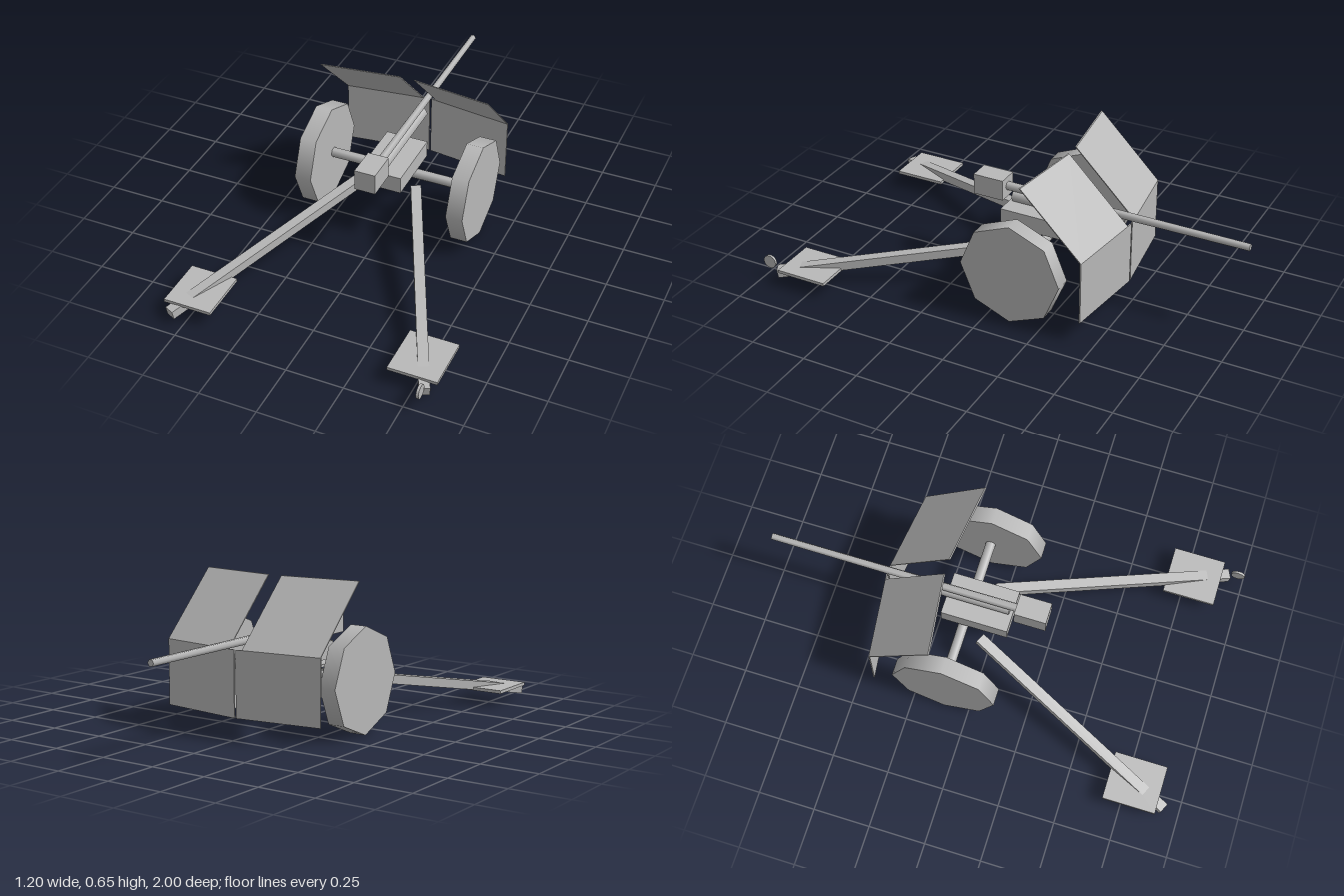
import * as THREE from 'three';

export function createModel() {
  const model = new THREE.Group();
  model.name = 'fieldGun';
  const metal = new THREE.MeshStandardMaterial({ color: 0xb8b8b8 });
  metal.name = 'plain grey';

  function add(name, geometry) {
    const mesh = new THREE.Mesh(geometry, metal);
    mesh.name = name;
    model.add(mesh);
    return mesh;
  }

  // Box given by its minimum and maximum corners
  function box(name, min, max) {
    const size = max.map((v, i) => v - min[i]);
    const mid = max.map((v, i) => (v + min[i]) / 2);
    return add(name, new THREE.BoxGeometry(...size).translate(...mid));
  }

  // Six-sided rod along z, tapering from rear to front
  function rod(name, y, zMin, zMax, rMin, rMax) {
    const g = new THREE.CylinderGeometry(rMax, rMin, zMax - zMin, 6, 1, false, Math.PI / 2);
    g.rotateX(Math.PI / 2).translate(0, y, (zMin + zMax) / 2);
    return add(name, g);
  }

  // Round part lying along x
  function disc(name, radius, width, sides, x, y, z) {
    const g = new THREE.CylinderGeometry(radius, radius, width, sides);
    return add(name, g.rotateZ(Math.PI / 2).translate(x, y, z));
  }

  // Shield plate: swept back to the side, and leaning by the given slope above its foot
  function shieldPlate(name, side, xIn, xOut, yMin, yMax, slope) {
    const g = new THREE.BoxGeometry(xOut - xIn, yMax - yMin, 0.006);
    g.translate(side * (xIn + xOut) / 2, (yMin + yMax) / 2, 0);
    const p = g.attributes.position;
    for (let i = 0; i < p.count; i++) {
      const sweep = 0.128 * Math.abs(p.getX(i));
      p.setZ(i, p.getZ(i) - 0.48 + sweep + slope * (p.getY(i) - yMin));
    }
    g.computeVertexNormals();
    return add(name, g);
  }

  // Gun
  rod('barrel', 0.403, -1, 0.11, 0.015, 0.019);
  rod('recoilTube', 0.362, -0.38, 0.07, 0.026, 0.026);
  box('breech', [-0.047, 0.352, 0.1], [0.047, 0.446, 0.24]);
  box('cradle', [-0.095, 0.265, -0.21], [0.095, 0.341, 0.085]);

  // Axle
  disc('axle', 0.022, 0.66, 6, 0, 0.23, -0.115);

  for (const side of [-1, 1]) {
    const label = side > 0 ? 'left' : 'right';
    disc(label + 'Wheel', 0.228, 0.075, 8, side * 0.352, 0.23, -0.11);

    // Shield halves
    shieldPlate(label + 'LowerShield', side, 0.004, 0.385, 0.092, 0.375, 0);
    shieldPlate(label + 'UpperShield', side, 0.033, 0.385, 0.375, 0.648, 1);

    // Trail leg
    const start = new THREE.Vector3(side * 0.118, 0.217, -0.03);
    const end = new THREE.Vector3(side * 0.56, 0.042, 0.93);
    const leg = add(label + 'Trail', new THREE.BoxGeometry(0.045, 0.04, start.distanceTo(end)));
    leg.position.copy(start).add(end).multiplyScalar(0.5);
    leg.lookAt(end);

    // Foot plate across the end of the trail
    const x = side * 0.495;
    box(label + 'FootPlate', [x - 0.106, 0.065, 0.668], [x + 0.106, 0.079, 0.9]);
  }

  // Small wheel at the end of the left trail
  disc('trailWheel', 0.03, 0.011, 20, 0.558, 0.08, 0.97);

  return model;
}
